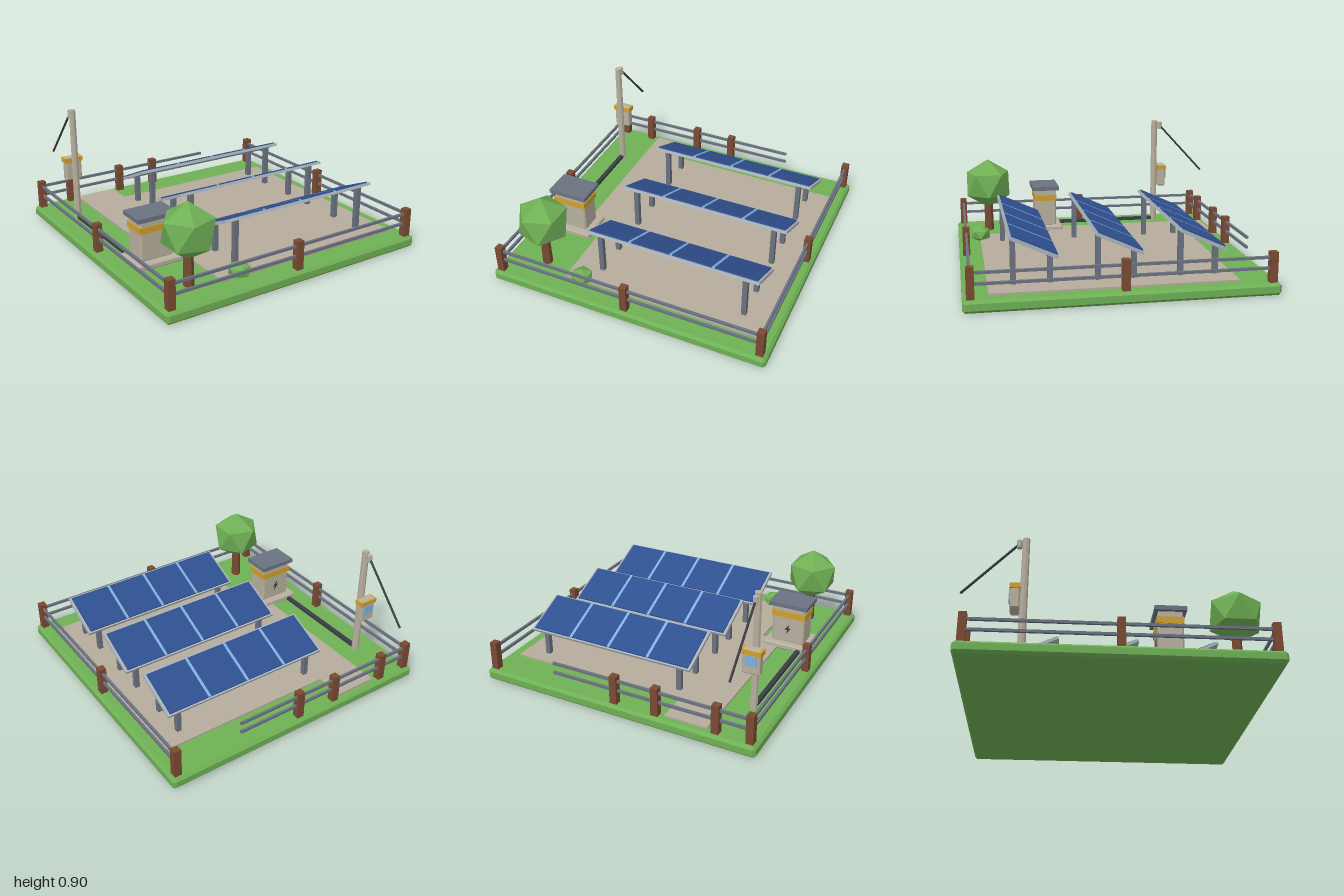
import * as THREE from 'three';
import { ConvexGeometry } from 'three/addons/geometries/ConvexGeometry.js';

const mat = (name, color) => {
  const m = new THREE.MeshStandardMaterial({ color });
  m.name = name;
  return m;
};

export function createModel() {
  const model = new THREE.Group();
  model.name = 'solarYard';

  const grass = mat('grass', 0x6fb055);
  const gravel = mat('gravel', 0xb5ac9c);
  const concrete = mat('concrete', 0xb8b09f);
  const wood = mat('wood', 0x7a4a32);
  const steel = mat('steel', 0x6b7280);
  const frameGrey = mat('panelFrame', 0xa9b2ba);
  const solarBlue = mat('solarBlue', 0x2f5090);
  const paleBlue = mat('paleBlue', 0x7fb0dc);
  const yellow = mat('warningYellow', 0xcfa02c);
  const dark = mat('darkCable', 0x3a3d44);

  const add = (parent, name, geometry, material, x = 0, y = 0, z = 0) => {
    const mesh = new THREE.Mesh(geometry, material);
    mesh.name = name;
    mesh.position.set(x, y, z);
    parent.add(mesh);
    return mesh;
  };
  const group = (name) => {
    const g = new THREE.Group();
    g.name = name;
    model.add(g);
    return g;
  };
  const box = (w, h, d) => new THREE.BoxGeometry(w, h, d);

  // Box with every edge chamfered by c
  const chamferBox = (w, h, d, c) => {
    const pts = [];
    for (const sx of [-1, 1]) for (const sy of [-1, 1]) for (const sz of [-1, 1]) {
      const [x, y, z] = [w / 2, h / 2, d / 2];
      pts.push(new THREE.Vector3(sx * x, sy * (y - c), sz * (z - c)));
      pts.push(new THREE.Vector3(sx * (x - c), sy * y, sz * (z - c)));
      pts.push(new THREE.Vector3(sx * (x - c), sy * (y - c), sz * z));
    }
    return new ConvexGeometry(pts);
  };

  // Icosahedron standing on a vertex
  const foliage = (r, squash = 1) => {
    const pts = [new THREE.Vector3(0, r * squash, 0), new THREE.Vector3(0, -r * squash, 0)];
    const ring = r * 0.894, h = r * 0.447 * squash;
    for (let i = 0; i < 5; i++) {
      const a = i * Math.PI * 0.4;
      pts.push(new THREE.Vector3(ring * Math.cos(a), -h, ring * Math.sin(a)));
      pts.push(new THREE.Vector3(-ring * Math.cos(a), h, ring * Math.sin(a)));
    }
    return new ConvexGeometry(pts);
  };

  // Ground slab and gravel yard with a path to the back
  add(model, 'ground', chamferBox(2, 0.08, 2, 0.018), grass, 0, 0.04, 0);
  const outline = [[-0.66, -0.95], [-0.36, -0.95], [-0.36, -0.75], [0.91, -0.75],
    [0.91, 0.84], [-0.51, 0.84], [-0.51, 0.3], [-0.66, 0.3]];
  const yard = new THREE.Shape(outline.map(([x, z]) => new THREE.Vector2(x, -z)));
  const yardGeo = new THREE.ExtrudeGeometry(yard, { depth: 0.017, bevelEnabled: false });
  yardGeo.rotateX(-Math.PI / 2);
  add(model, 'gravelYard', yardGeo, gravel, 0, 0.075, 0);

  // Fence
  const fence = group('fence');
  const E = 0.95;
  const posts = [[-E, -E], [-0.72, -E], [-0.3, -E], [0, -E], [E, -E],
    [-E, 0], [E, 0], [-E, E], [0, E], [E, E]];
  for (const [x, z] of posts) add(fence, 'fencePost', box(0.05, 0.205, 0.05), wood, x, 0.1775, z);
  for (const y of [0.172, 0.242]) {
    add(fence, 'frontRail', box(1.9, 0.018, 0.016), steel, 0, y, E);
    add(fence, 'backRail', box(1.42, 0.018, 0.016), steel, -0.24, y, -E);
    for (const s of [-1, 1]) add(fence, 'sideRail', box(0.016, 0.018, 1.9), steel, s * E, y, 0);
  }

  // Three tilted solar tables
  const tilt = THREE.MathUtils.degToRad(24.5);
  for (const z of [-0.528, 0.011, 0.551]) {
    const table = group('solarTable');
    table.position.set(0.217, 0, z);
    const top = new THREE.Group();
    top.name = 'tiltedTop';
    top.position.y = 0.345;
    top.rotation.x = -tilt;
    table.add(top);
    add(top, 'frame', box(1.236, 0.02, 0.333), frameGrey, 0, -0.003, 0);
    for (let i = 0; i < 4; i++) {
      add(top, 'solarPanel', box(0.28, 0.009, 0.31), solarBlue, (i - 1.5) * 0.3, 0.0115, 0);
      if (i) add(top, 'divider', box(0.02, 0.009, 0.31), paleBlue, (i - 2) * 0.3, 0.0115, 0);
    }
    for (const s of [-1, 1]) {
      add(top, 'panelEdge', box(0.01, 0.009, 0.31), solarBlue, s * 0.595, 0.0115, 0);
      for (const dz of [0.128, -0.105]) {
        const h = 0.34 + dz * Math.tan(tilt) - 0.08;
        add(table, 'leg', box(0.034, h, 0.034), steel, s * 0.522, 0.08 + h / 2, dz);
      }
    }
  }

  // Transformer cabinet
  const cabinet = group('cabinet');
  cabinet.position.set(-0.72, 0, 0.318);
  add(cabinet, 'plinth', chamferBox(0.332, 0.045, 0.252, 0.01), concrete, 0, 0.1, 0);
  add(cabinet, 'body', chamferBox(0.24, 0.29, 0.16, 0.01), concrete, 0, 0.262, 0);
  add(cabinet, 'band', box(0.25, 0.045, 0.168), yellow, 0, 0.338, 0);
  add(cabinet, 'roof', box(0.284, 0.03, 0.204), steel, 0, 0.415, 0);
  const bolt = new THREE.Shape([[0.012, 0.04], [-0.024, -0.006], [-0.003, -0.006],
    [-0.014, -0.04], [0.024, 0.008], [0.003, 0.008]].map(([x, y]) => new THREE.Vector2(x, y)));
  const sign = add(cabinet, 'hazardBolt',
    new THREE.ExtrudeGeometry(bolt, { depth: 0.004, bevelEnabled: false }), dark, 0, 0.225, -0.079);
  sign.rotation.y = Math.PI;

  // Utility pole with meter box and cables
  const pole = group('utilityPole');
  pole.position.set(-0.82, 0, -0.6);
  const shaft = new THREE.CylinderGeometry(0.024, 0.026, 0.82, 8).toNonIndexed();
  shaft.computeVertexNormals();
  add(pole, 'shaft', shaft, concrete, 0, 0.49, 0);
  const knob = new THREE.CylinderGeometry(0.018, 0.018, 0.055, 8).toNonIndexed();
  knob.computeVertexNormals();
  add(pole, 'insulator', knob, concrete, 0, 0.86, -0.042);
  add(pole, 'meterBox', chamferBox(0.12, 0.172, 0.06, 0.008), concrete, 0, 0.456, -0.053);
  add(pole, 'meterBand', box(0.136, 0.034, 0.066), yellow, 0, 0.521, -0.054);
  add(pole, 'meterWindow', box(0.076, 0.07, 0.009), paleBlue, 0, 0.468, -0.087);
  const from = new THREE.Vector3(0, 0.855, -0.05), to = new THREE.Vector3(0, 0.485, -0.394);
  const wire = new THREE.TubeGeometry(new THREE.LineCurve3(from, to), 1, 0.008, 6);
  add(pole, 'overheadCable', wire, dark);
  add(pole, 'groundCable', box(0.03, 0.025, 0.8), dark, 0, 0.09, 0.4);

  // Tree and bush
  const tree = group('tree');
  tree.position.set(-0.705, 0, 0.758);
  const trunk = new THREE.CylinderGeometry(0.03, 0.036, 0.27, 6).toNonIndexed();
  trunk.computeVertexNormals();
  add(tree, 'trunk', trunk, wood, 0, 0.215, 0);
  add(tree, 'crown', foliage(0.19), grass, 0, 0.45, 0);
  add(model, 'bush', foliage(0.08, 0.75), grass, -0.382, 0.132, 0.838);

  return model;
}
